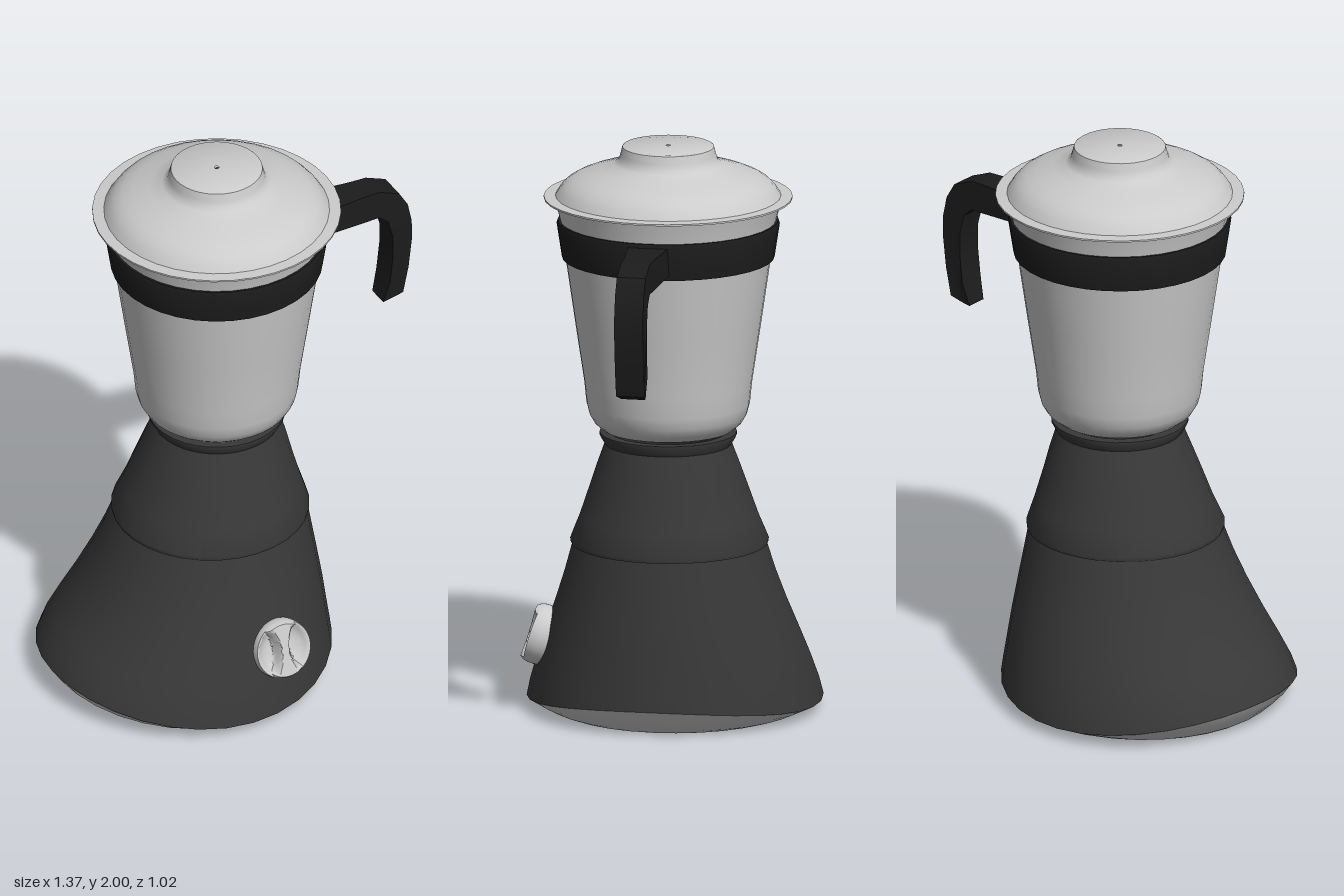
import * as THREE from 'three';
import { toCreasedNormals } from 'three/addons/utils/BufferGeometryUtils.js';

const CX = -0.05; // jar axis
const material = (color) => new THREE.MeshStandardMaterial({ color, side: THREE.DoubleSide });
const steel = material(0xcccccc);
const casing = material(0x383838);
const black = material(0x1c1c1c);

// Stacked circles [y, centre x, radius, rim lift], listed from top to bottom
function stack(rows, segments = 32) {
  const pos = [], index = [];
  rows.forEach(([y, c, r, lift = 0], j) => {
    for (let i = 0; i < segments; i++) {
      const t = (i / segments) * Math.PI * 2, cos = Math.cos(t);
      pos.push(c + r * cos, y + lift * (cos * cos - 0.1 * cos), r * Math.sin(t));
      if (j === rows.length - 1) continue;
      const a = j * segments + i, b = j * segments + ((i + 1) % segments);
      index.push(a, b, a + segments, b, b + segments, a + segments);
    }
  });
  const g = new THREE.BufferGeometry();
  g.setAttribute('position', new THREE.Float32BufferAttribute(pos, 3));
  g.setIndex(index);
  return toCreasedNormals(g, 0.6);
}

function lathe(points, segments = 36) {
  const g = new THREE.LatheGeometry(points.map(([r, y]) => new THREE.Vector2(r, y)), segments);
  return toCreasedNormals(g, 0.65);
}

// Curved handle, flared where it meets the band and narrowed at the tip
function handleGeometry() {
  const s = new THREE.Shape([
    [0.28, 1.63], [0.4, 1.625], [0.5, 1.62], [0.555, 1.62], [0.59, 1.59], [0.608, 1.52], [0.608, 1.44],
    [0.597, 1.34], [0.575, 1.255], [0.61, 1.262], [0.647, 1.28], [0.668, 1.38], [0.682, 1.5],
    [0.68, 1.57], [0.665, 1.64], [0.632, 1.695], [0.555, 1.726], [0.5, 1.726], [0.4, 1.726], [0.28, 1.726],
  ].map(([x, y]) => new THREE.Vector2(x, y)));
  const g = new THREE.ExtrudeGeometry(s, { depth: 0.1, bevelEnabled: false });
  g.translate(0, 0, -0.05);
  const p = g.attributes.position;
  for (let i = 0; i < p.count; i++) {
    const flare = 1 + 1.9 * Math.max(0, 0.52 - p.getX(i));
    const taper = p.getY(i) < 1.27 ? 0.78 : 1;
    p.setZ(i, p.getZ(i) * flare * taper);
  }
  g.deleteAttribute('normal');
  return toCreasedNormals(g, 0.45);
}

// Knob face: a disc scooped out on both sides of an hourglass grip
function knobGeometry() {
  const R = 0.105, pts = [[R * 0.8, -0.05], [R * 0.93, -0.03], [R, -0.005], [R, 0.015]];
  for (let i = 13; i >= 0; i--) pts.push([R * 0.97 * i / 13, i === 13 ? 0.03 : 0.04]);
  const g = new THREE.LatheGeometry(pts.map(([r, y]) => new THREE.Vector2(r, y)), 48);
  g.rotateX(Math.PI / 2);
  const p = g.attributes.position;
  for (let i = 0; i < p.count; i++) {
    if (p.getZ(i) < 0.035) continue;
    const x = Math.abs(p.getX(i)), y = p.getY(i), r = Math.hypot(x, y) / R;
    const grip = 0.012 + 0.045 * (y / R) ** 2;
    const cut = THREE.MathUtils.smoothstep(x, grip, grip + 0.02);
    p.setZ(i, 0.045 - cut * 0.045 * (1 - r ** 4));
  }
  return toCreasedNormals(g, 0.7);
}

export function createModel() {
  const model = new THREE.Group();
  const add = (name, geometry, mat, x = 0) => {
    const m = new THREE.Mesh(geometry, mat);
    m.name = name;
    m.position.x = x;
    model.add(m);
    return m;
  };

  // Motor base, leaning out to one side, on a saddle-shaped rim
  add('upperCasing', stack([
    [0.995, CX, 0.2], [0.995, CX, 0.235], [0.985, CX, 0.235], [0.955, CX, 0.218], [0.88, -0.055, 0.245],
    [0.8, -0.062, 0.272], [0.7, -0.068, 0.306], [0.615, -0.075, 0.34], [0.602, -0.075, 0.338], [0.602, -0.075, 0.32],
  ]), casing);
  add('lowerCasing', stack([
    [0.605, -0.075, 0.331], [0.5, -0.088, 0.361], [0.4, -0.105, 0.394], [0.3, -0.126, 0.43],
    [0.19, -0.152, 0.467, 0.02], [0.1, -0.17, 0.494, 0.045], [0.037, -0.178, 0.508, 0.062],
  ]), casing);
  add('footRing', stack([
    [0.037, -0.178, 0.507, 0.062], [0.022, -0.177, 0.475, 0.03], [0.006, -0.175, 0.435, 0.008],
    [0, -0.175, 0.41], [0.004, -0.175, 0.355],
  ]), steel);

  // Speed knob lying on the sloping front
  const knob = add('knob', knobGeometry(), steel);
  knob.position.set(-0.038, 0.262, 0.437);
  knob.rotation.x = -0.3;

  // Jar
  add('jar', lathe([
    [0, 0.998], [0.19, 0.998], [0.225, 1.008], [0.252, 1.03], [0.27, 1.06], [0.28, 1.1], [0.287, 1.17],
    [0.317, 1.37], [0.352, 1.61], [0.37, 1.74], [0.39, 1.815],
  ]), steel, CX);
  add('jarBand', lathe([
    [0.345, 1.61], [0.364, 1.61], [0.382, 1.728], [0.378, 1.74], [0.36, 1.74],
  ]), black, CX);
  add('handle', handleGeometry(), black);

  // Lid with a thin brim and a vented cap
  add('lidBrim', lathe([[0.36, 1.817], [0.426, 1.817], [0.426, 1.823], [0.375, 1.826]]), steel, CX);
  add('lid', lathe([
    [0.388, 1.823], [0.372, 1.848], [0.352, 1.87], [0.325, 1.887], [0.29, 1.902], [0.23, 1.922],
    [0.185, 1.938], [0.17, 1.95], [0.164, 1.97], [0.157, 1.997], [0.153, 2], [0.008, 2],
  ]), steel, CX);
  return model;
}
